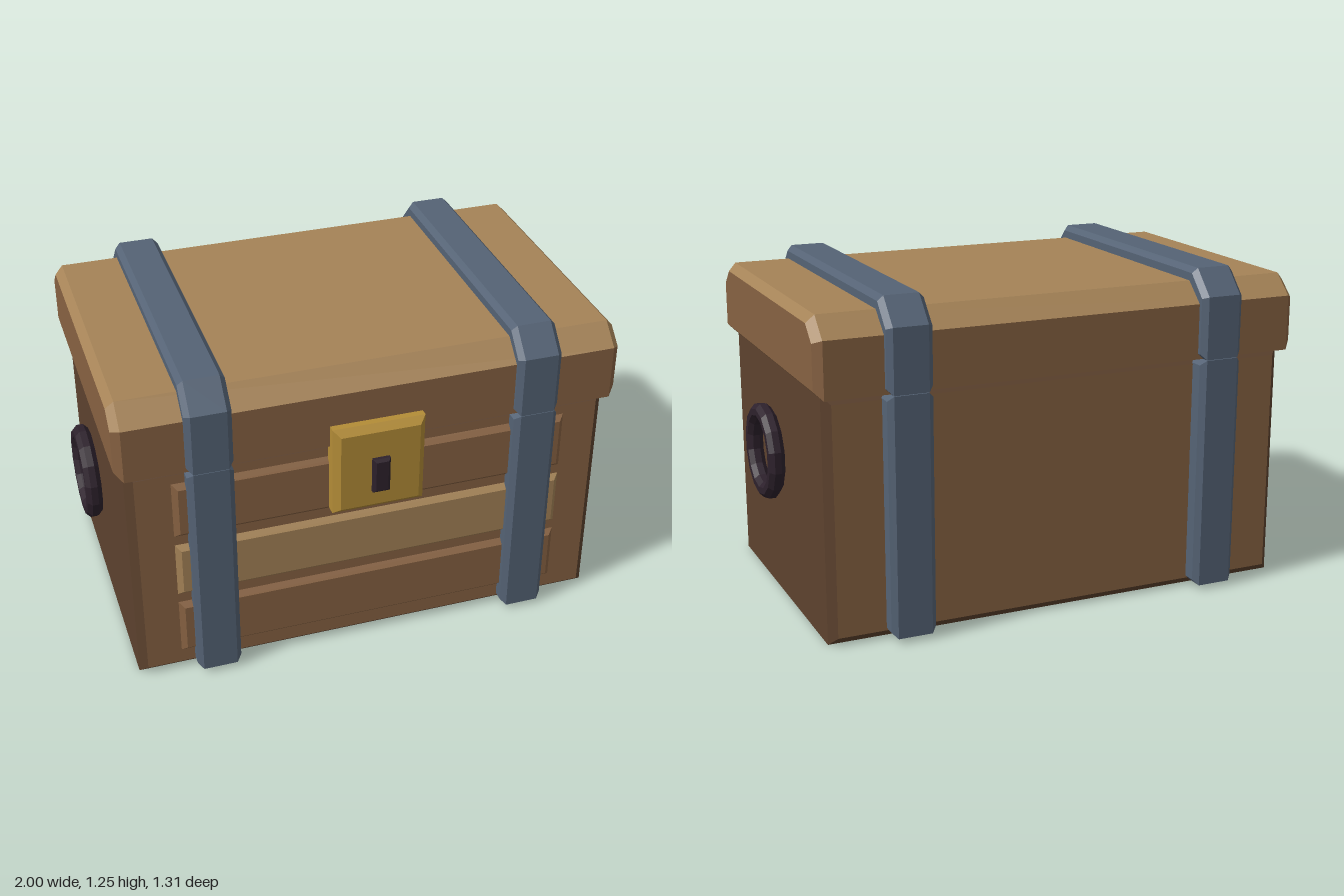
import * as THREE from 'three';

const mat = (name, color) => Object.assign(new THREE.MeshStandardMaterial({ color }), { name });

// Moves every side of a convex counter-clockwise outline inward by d
function inset(pts, d) {
  const n = pts.length;
  const normal = (a, b) => new THREE.Vector2(b[1] - a[1], a[0] - b[0]).normalize();
  return pts.map((p, i) => {
    const n1 = normal(pts[(i + n - 1) % n], p);
    const n2 = normal(p, pts[(i + 1) % n]);
    const k = d / (1 + n1.dot(n2));
    return [p[0] - k * (n1.x + n2.x), p[1] - k * (n1.y + n2.y)];
  });
}

const rect = (x0, x1, y0, y1) => [[x0, y0], [x1, y0], [x1, y1], [x0, y1]];

// Convex outline extruded along z from z0 to z1, with bevelled ends.
// sideMats has one material per outline side; capMat covers both ends.
function bevelPrism(name, outline, z0, z1, bevel, sideMats, capMat) {
  const small = inset(outline, bevel);
  const loops = [[small, z0], [outline, z0 + bevel], [outline, z1 - bevel], [small, z1]]
    .map(([pts, z]) => pts.map(([x, y]) => [x, y, z]));
  const n = outline.length;
  const pos = [];
  const geo = new THREE.BufferGeometry();
  const materials = [...sideMats, capMat];
  for (let i = 0; i < n; i++) {
    const j = (i + 1) % n;
    const start = pos.length / 3;
    for (let s = 0; s < 3; s++) {
      const [a, b, c, d] = [loops[s][i], loops[s][j], loops[s + 1][j], loops[s + 1][i]];
      pos.push(...a, ...b, ...c, ...a, ...c, ...d);
    }
    geo.addGroup(start, pos.length / 3 - start, i);
  }
  const start = pos.length / 3;
  for (let i = 1; i < n - 1; i++) {
    pos.push(...loops[3][0], ...loops[3][i], ...loops[3][i + 1]);
    pos.push(...loops[0][0], ...loops[0][i + 1], ...loops[0][i]);
  }
  geo.addGroup(start, pos.length / 3 - start, n);
  geo.setAttribute('position', new THREE.Float32BufferAttribute(pos, 3));
  geo.computeVertexNormals();
  const mesh = new THREE.Mesh(geo, materials);
  mesh.name = name;
  return mesh;
}

// Same, but the outline is given as [-z, y] and runs along x
function crossPrism(...args) {
  const mesh = bevelPrism(...args);
  mesh.geometry.rotateY(Math.PI / 2);
  return mesh;
}

// Side outline of the lid: a box with two sloped top corners
const lidOutline = (front, back, bottom, top, cutZ, cutY) => [
  [-front, bottom], [back, bottom], [back, top - cutY], [back - cutZ, top],
  [-front + cutZ, top], [-front, top - cutY],
];

export function createModel() {
  const chest = new THREE.Group();
  chest.name = 'chest';

  const tan = mat('light wood', 0xa58357);
  const brown = mat('medium wood', 0x876242);
  const dark = mat('dark wood', 0x5d422e);
  const steel = mat('blue steel', 0x556375);
  const gold = mat('gold', 0xb38c37);
  const iron = mat('dark iron', 0x2d212c);
  const all = (m, n) => Array(n).fill(m);

  // Body: dark ends, bottom and bevels, lighter front and back boards
  chest.add(bevelPrism('body', rect(-0.915, 0.915, 0, 0.92), -0.585, 0.55, 0.03, all(dark, 4), brown));

  // Lid: light top and slopes, medium rim
  chest.add(crossPrism('lid', lidOutline(0.58, 0.62, 0.915, 1.2, 0.08, 0.075), -0.95, 0.95, 0.03,
    [brown, brown, tan, tan, tan, brown], brown));

  // Raised front planks
  [[0.085, 0.32, brown], [0.355, 0.585, tan], [0.62, 0.855, brown]].forEach(([y0, y1, m]) => {
    chest.add(bevelPrism('frontPlank', rect(-0.755, 0.755, y0, y1), 0.5, 0.57, 0.022, all(m, 4), m));
  });

  // Metal bands around the body and over the lid
  for (const side of [-1, 1]) {
    const x0 = side * 0.6175 - 0.085, x1 = x0 + 0.17;
    chest.add(crossPrism('bodyBand', rect(-0.61, 0.655, 0.02, 0.915), x0, x1, 0.02, all(steel, 4), steel));
    chest.add(crossPrism('lidBand', lidOutline(0.61, 0.655, 0.917, 1.25, 0.09, 0.095), x0, x1, 0.02,
      all(steel, 6), steel));
  }

  // Lock plate and keyhole
  chest.add(bevelPrism('lockPlate', rect(-0.175, 0.175, 0.638, 1.0), 0.53, 0.632, 0.025, all(gold, 4), gold));
  chest.add(bevelPrism('keyhole', rect(-0.033, 0.033, 0.725, 0.868), 0.6, 0.655, 0.01, all(iron, 4), iron));

  // Ring handles on both ends
  const section = [];
  for (let i = 0; i <= 8; i++) {
    const a = (i + 0.5) * Math.PI / 4;
    section.push(new THREE.Vector2(0.152 + 0.0325 * Math.cos(a), 0.0325 * Math.sin(a)));
  }
  const ringGeo = new THREE.LatheGeometry(section, 14, Math.PI / 2).toNonIndexed();
  ringGeo.rotateZ(Math.PI / 2);
  ringGeo.computeVertexNormals();
  for (const side of [-1, 1]) {
    const ring = new THREE.Mesh(ringGeo, iron);
    ring.name = side > 0 ? 'leftRingHandle' : 'rightRingHandle';
    ring.position.set(side * 0.97, 0.578, -0.018);
    chest.add(ring);
  }

  return chest;
}
